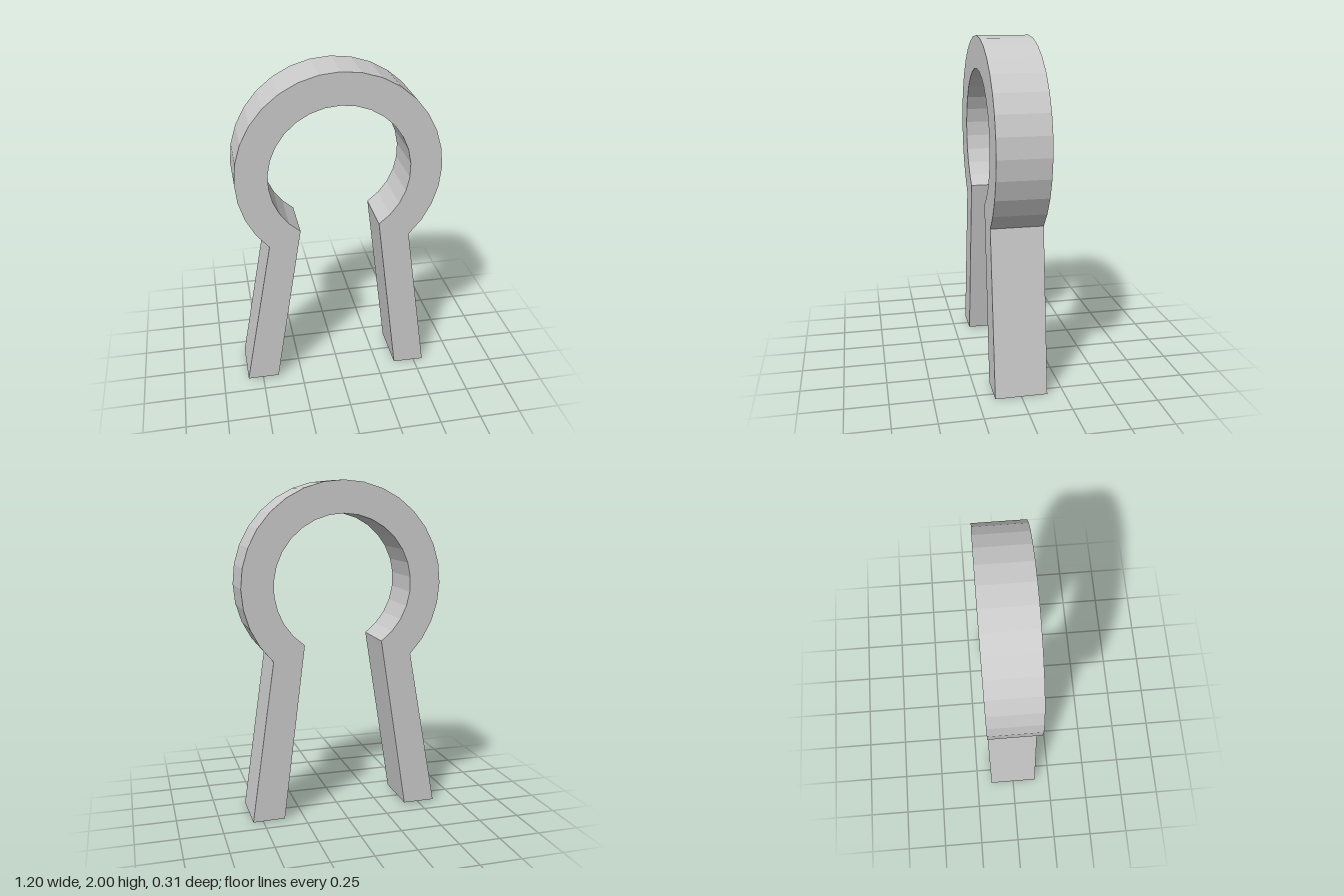
import * as THREE from 'three';

const CENTRE_Y = 1.4;
const DEPTH = 0.305;
const SEGMENTS = 24;

// Points on an arc about the ring centre, angles in degrees clockwise from the top
function arc(radius, from, to) {
  return Array.from({ length: SEGMENTS + 1 }, (_, i) => {
    const a = THREE.MathUtils.degToRad(from + ((to - from) * i) / SEGMENTS);
    return new THREE.Vector2(radius * Math.sin(a), CENTRE_Y + radius * Math.cos(a));
  });
}

export function createModel() {
  const group = new THREE.Group();
  group.name = 'keyholeClip';

  // Open ring and two splayed legs as one continuous outline
  const outline = new THREE.Shape([
    ...arc(0.6, -135.5, 135.5),
    new THREE.Vector2(0.56, 0),
    new THREE.Vector2(0.368, 0.003),
    ...arc(0.413, 145.3, -145.3),
    new THREE.Vector2(-0.402, 0.012),
    new THREE.Vector2(-0.595, 0.012),
  ]);

  // Straight extrusion with sharp edges, centred front to back
  const geometry = new THREE.ExtrudeGeometry(outline, { depth: DEPTH, bevelEnabled: false });
  geometry.translate(0, 0, -DEPTH / 2);

  const clip = new THREE.Mesh(
    geometry,
    new THREE.MeshStandardMaterial({ color: 0xcccccc, flatShading: true })
  );
  clip.name = 'ringWithLegs';
  group.add(clip);
  return group;
}
